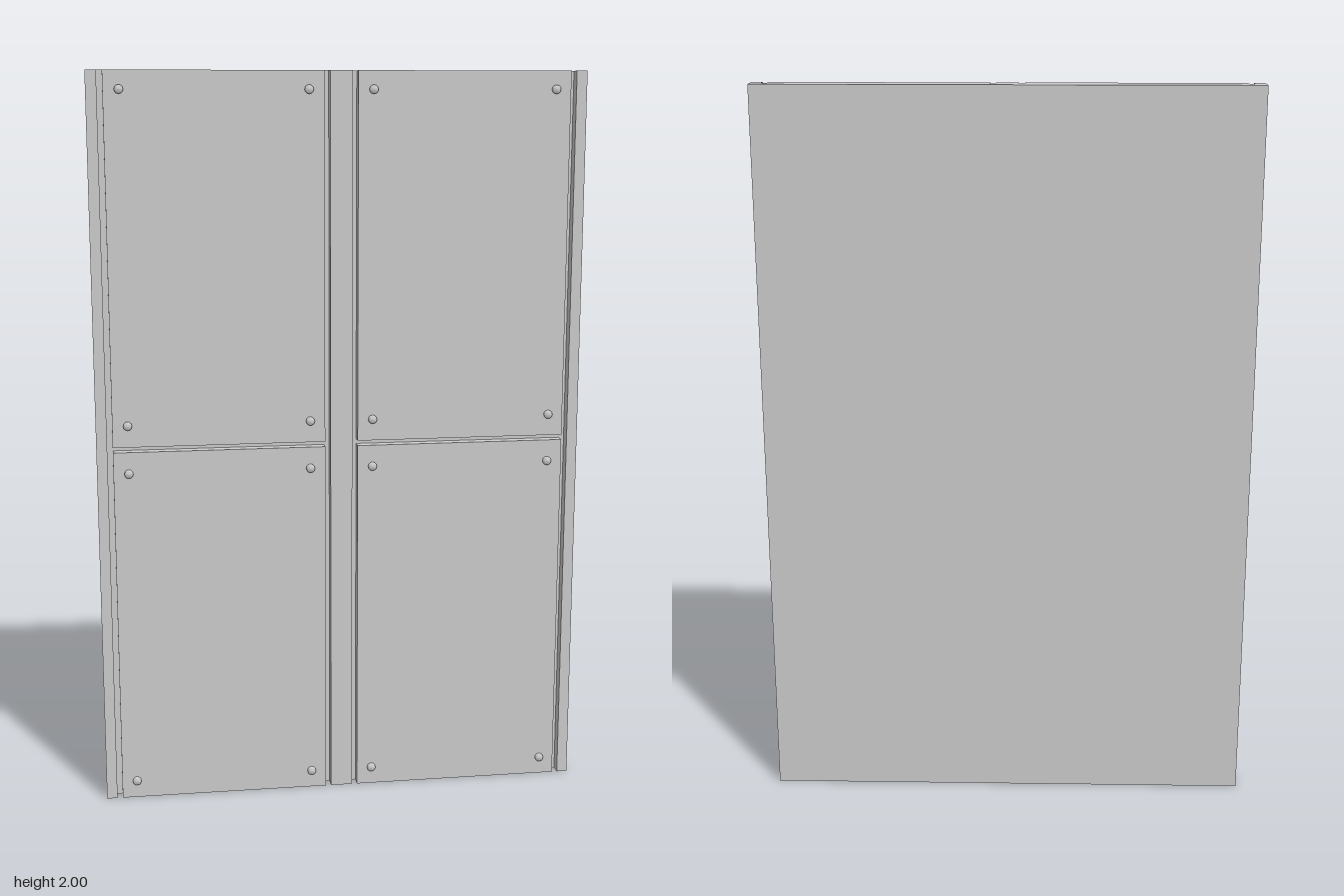
import * as THREE from 'three';

const HALF_W = 0.666, HEIGHT = 2;
const BACK = -0.038, FLOOR = -0.002, FRONT = 0.028;
const PANEL_X = 0.3335, PANEL_W = 0.577, GROOVE = 0.015;

export function createModel() {
  const group = new THREE.Group();
  const mat = new THREE.MeshStandardMaterial({ color: 0xcccccc });
  const add = (name, geo, x = 0, y = 0, z = 0) => {
    const mesh = new THREE.Mesh(geo, mat);
    mesh.name = name;
    mesh.position.set(x, y, z);
    group.add(mesh);
  };

  // Backing board with two edge stiles and a centre stile, one profile run upwards
  const inner = PANEL_X - PANEL_W / 2 - GROOVE;
  const outer = PANEL_X + PANEL_W / 2 + GROOVE;
  const section = [
    [-HALF_W, BACK], [-HALF_W, FRONT], [-outer, FRONT], [-outer, FLOOR],
    [-inner, FLOOR], [-inner, FRONT], [inner, FRONT], [inner, FLOOR],
    [outer, FLOOR], [outer, FRONT], [HALF_W, FRONT], [HALF_W, BACK],
  ];
  const shape = new THREE.Shape(section.map(([x, z]) => new THREE.Vector2(x, -z)));
  const board = new THREE.ExtrudeGeometry(shape, { depth: HEIGHT, bevelEnabled: false });
  board.rotateX(-Math.PI / 2);
  add('backingBoard', board);

  // Four raised panels separated by grooves
  const panelH = (HEIGHT - 0.014) / 2;
  const panelGeo = new THREE.BoxGeometry(PANEL_W, panelH, FRONT - FLOOR);

  // Low domed bolt head facing forwards
  const boltGeo = new THREE.LatheGeometry(
    [[0.012, 0], [0.012, 0.005], [0.008, 0.009], [0, 0.01]].map(([r, h]) => new THREE.Vector2(r, h)), 12);
  boltGeo.rotateX(Math.PI / 2);

  for (const sx of [-1, 1]) {
    for (const sy of [-1, 1]) {
      const x = sx * PANEL_X, y = HEIGHT / 2 + sy * (HEIGHT - panelH) / 2;
      add('panel', panelGeo, x, y, (FRONT + FLOOR) / 2);
      // One bolt near each panel corner
      for (const bx of [-0.2475, 0.2475])
        for (const by of [-0.4425, 0.4425])
          add('boltHead', boltGeo, x + bx, y + by + sy * 0.005, FRONT);
    }
  }
  return group;
}
